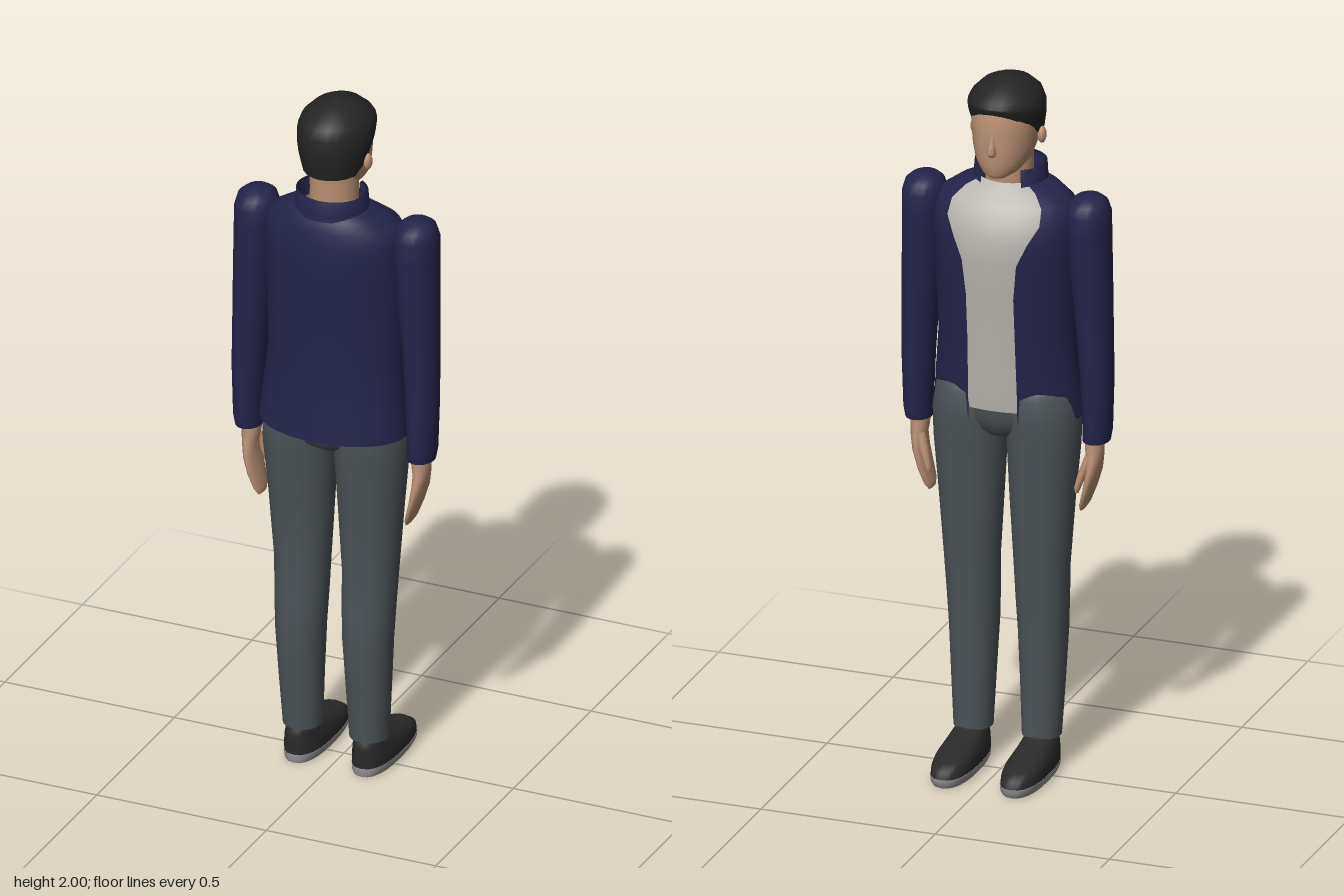
import * as THREE from 'three';

const mat = (name, color, side = THREE.FrontSide) => {
  const m = new THREE.MeshStandardMaterial({ color, side });
  m.name = name;
  return m;
};

// Skin a stack of elliptical rings, each [y, centreX, radiusX, zFront, zBack].
// open: half-angle range per ring [from, to] measured from the front (-z); lift(z) bends ring heights.
function loft(rings, { segs = 24, range = null, lift = null, power = 1 } = {}) {
  const pos = [], idx = [];
  const cols = range ? segs + 1 : segs;
  const bend = (v) => Math.sign(v) * Math.pow(Math.abs(v), power);
  const point = (r, a) => {
    const [y, cx, rx, zf, zb] = r;
    const z = (zf + zb) / 2 - bend(Math.cos(a)) * (zb - zf) / 2;
    return [cx + bend(Math.sin(a)) * rx, y + (lift ? lift(z, y) : 0), z];
  };
  rings.forEach((r, j) => {
    const [a0, a1] = range ? range(r, j) : [0, Math.PI * 2];
    for (let i = 0; i < cols; i++) pos.push(...point(r, a0 + (a1 - a0) * i / segs));
  });
  for (let j = 0; j < rings.length - 1; j++) {
    for (let i = 0; i < segs; i++) {
      const k = (i + 1) % cols;
      const a = j * cols + i, b = j * cols + k, c = a + cols, d = b + cols;
      idx.push(a, c, b, b, c, d);
    }
  }
  // flat end caps on closed lofts
  if (!range) {
    [[0, false], [rings.length - 1, true]].forEach(([j, top]) => {
      const r = rings[j], start = pos.length / 3;
      let sy = 0;
      for (let i = 0; i < segs; i++) {
        const p = point(r, Math.PI * 2 * i / segs);
        sy += p[1] / segs;
        pos.push(...p);
      }
      pos.push(r[1], sy, (r[3] + r[4]) / 2);
      for (let i = 0; i < segs; i++) {
        const a = start + i, b = start + (i + 1) % segs, c = start + segs;
        idx.push(...(top ? [a, c, b] : [a, b, c]));
      }
    });
  }
  const g = new THREE.BufferGeometry();
  g.setAttribute('position', new THREE.Float32BufferAttribute(pos, 3));
  g.setIndex(idx);
  g.computeVertexNormals();
  return g;
}

export function createModel() {
  const root = new THREE.Group();
  root.name = 'standingMan';
  const jacketMat = mat('navyJacket', 0x24244a, THREE.DoubleSide);
  const shirtMat = mat('paleShirt', 0xb8b4ae, THREE.DoubleSide);
  const trouserMat = mat('greyTrousers', 0x4c5357);
  const skinMat = mat('skin', 0xba9174);
  const hairMat = mat('blackHair', 0x242424);
  const shoeMat = mat('blackShoe', 0x2a2a2a);
  const soleMat = mat('greySole', 0x959595);
  const add = (name, geo, material, parent = root) => {
    const m = new THREE.Mesh(geo, material);
    m.name = name;
    parent.add(m);
    return m;
  };

  // Torso: jacket wraps round the back, shirt fills the front opening
  const torso = [
    [1.03, 0, 0.212, -0.07, 0.2], [1.12, 0, 0.204, -0.076, 0.192], [1.25, 0, 0.192, -0.084, 0.181],
    [1.4, 0, 0.196, -0.098, 0.183], [1.5, 0, 0.2, -0.106, 0.187], [1.56, 0, 0.202, -0.106, 0.187],
    [1.61, 0, 0.201, -0.094, 0.183], [1.65, 0, 0.186, -0.068, 0.175], [1.68, 0, 0.14, -0.035, 0.165],
    [1.7, 0, 0.09, -0.01, 0.15],
  ];
  const gap = [0.07, 0.07, 0.068, 0.068, 0.078, 0.105, 0.132, 0.128, 0.1, 0.065];
  const half = (j) => Math.asin(gap[j] / torso[j][2]);
  add('jacketBody', loft(torso, { segs: 36, range: (r, j) => [half(j), Math.PI * 2 - half(j)] }), jacketMat);
  const shirt = torso.map(([y, x, rx, f, b], j) => [j ? y : 1.06, x, rx - 0.003, f + 0.003, b]);
  add('shirtFront', loft(shirt, { segs: 14, range: (r, j) => [-half(j) - 0.03, half(j) + 0.03] }), shirtMat);

  // Stand-up collar, open at the front
  const collar = [[1.68, 0, 0.108, -0.03, 0.168], [1.695, 0, 0.102, -0.018, 0.165],
    [1.74, 0, 0.099, -0.012, 0.162], [1.735, 0, 0.09, -0.004, 0.153], [1.69, 0, 0.088, 0, 0.15]];
  add('collar', loft(collar, { segs: 28, range: () => [0.6, Math.PI * 2 - 0.6] }), jacketMat);

  // Hips
  add('hips', loft([[0.97, 0, 0.07, -0.02, 0.12], [0.99, 0, 0.11, -0.045, 0.15], [1.03, 0, 0.17, -0.06, 0.17],
    [1.07, 0, 0.185, -0.064, 0.175]]), trouserMat);

  // Neck and head
  add('neck', loft([[1.64, 0, 0.07, 0, 0.13], [1.74, 0, 0.066, -0.008, 0.128], [1.82, 0, 0.068, -0.01, 0.135]]), skinMat);
  add('face', loft([
    [1.73, 0, 0.028, -0.056, 0.01], [1.742, 0, 0.05, -0.066, 0.06], [1.77, 0, 0.073, -0.071, 0.115],
    [1.81, 0, 0.085, -0.074, 0.14], [1.86, 0, 0.091, -0.073, 0.15], [1.91, 0, 0.094, -0.072, 0.15],
    [1.95, 0, 0.08, -0.058, 0.14], [1.975, 0, 0.05, -0.02, 0.1],
  ]), skinMat);
  add('nose', loft([[1.8, 0, 0.01, -0.082, -0.06], [1.812, 0, 0.014, -0.092, -0.06], [1.83, 0, 0.009, -0.083, -0.06],
    [1.865, 0, 0.005, -0.074, -0.06]], { segs: 10 }), skinMat);

  // Hair cap, its lower edge rising from the nape to the forehead
  const hairLift = (z, y) => Math.max(0, 0.69 * (0.1 - z)) * Math.max(0, (1.94 - y) / 0.14);
  add('hair', loft([
    [1.8, 0, 0.09, -0.076, 0.156], [1.84, 0, 0.098, -0.079, 0.166], [1.88, 0, 0.103, -0.081, 0.171],
    [1.92, 0, 0.103, -0.082, 0.169], [1.95, 0, 0.093, -0.073, 0.157], [1.975, 0, 0.068, -0.042, 0.126],
    [1.99, 0, 0.035, -0.002, 0.086], [2.0, 0, 0.004, 0.04, 0.05],
  ], { lift: hairLift }), hairMat);

  for (const s of [1, -1]) {
    const side = s > 0 ? 'left' : 'right';
    const rings = (list) => list.map(([y, x, ...rest]) => [y, x * s, ...rest]);

    // Ear
    const ear = add(side + 'Ear', new THREE.SphereGeometry(1, 12, 8), skinMat);
    ear.scale.set(0.012, 0.024, 0.016);
    ear.position.set(0.096 * s, 1.83, 0.055);

    // Sleeve with rounded shoulder
    add(side + 'Sleeve', loft(rings([
      [0.97, 0.254, 0.037, 0.005, 0.1], [1.0, 0.257, 0.039, 0.0, 0.105], [1.15, 0.256, 0.045, -0.004, 0.107],
      [1.3, 0.25, 0.05, -0.012, 0.108], [1.45, 0.242, 0.056, -0.02, 0.113], [1.58, 0.236, 0.06, -0.03, 0.117],
      [1.63, 0.235, 0.061, -0.029, 0.115], [1.66, 0.235, 0.052, -0.018, 0.104], [1.675, 0.235, 0.035, 0.004, 0.084],
      [1.68, 0.235, 0.01, 0.033, 0.055],
    ]), { segs: 18 }), jacketMat);

    // Hand and thumb
    add(side + 'Hand', loft(rings([
      [0.768, 0.217, 0.005, 0.025, 0.075], [0.785, 0.222, 0.011, 0.012, 0.087], [0.83, 0.236, 0.014, 0.002, 0.096],
      [0.88, 0.248, 0.018, 0.0, 0.096], [0.92, 0.252, 0.021, 0.008, 0.086], [0.95, 0.25, 0.026, 0.014, 0.08],
      [0.985, 0.25, 0.027, 0.014, 0.082],
    ]), { segs: 14 }), skinMat);
    add(side + 'Thumb', loft(rings([
      [0.825, 0.212, 0.005, 0.006, 0.018], [0.84, 0.214, 0.009, 0.001, 0.024], [0.88, 0.226, 0.012, 0.002, 0.032],
      [0.93, 0.242, 0.012, 0.012, 0.045],
    ]), { segs: 10 }), skinMat);

    // Trouser leg
    add(side + 'TrouserLeg', loft(rings([
      [0.1, 0.098, 0.054, -0.008, 0.105], [0.25, 0.099, 0.061, -0.013, 0.122], [0.4, 0.099, 0.068, -0.02, 0.138],
      [0.5, 0.099, 0.073, -0.027, 0.133], [0.6, 0.1, 0.077, -0.035, 0.125], [0.8, 0.102, 0.09, -0.05, 0.14],
      [0.95, 0.105, 0.1, -0.063, 0.158], [1.03, 0.106, 0.1, -0.07, 0.165], [1.1, 0.105, 0.088, -0.071, 0.16],
      [1.12, 0.105, 0.06, -0.05, 0.13],
    ])), trouserMat);

    // Shoe upper and sole
    add(side + 'Shoe', loft(rings([
      [0.022, 0.1, 0.056, -0.197, 0.11], [0.045, 0.1, 0.056, -0.19, 0.11], [0.062, 0.1, 0.053, -0.165, 0.11],
      [0.08, 0.1, 0.046, -0.09, 0.11], [0.1, 0.099, 0.04, -0.015, 0.106], [0.11, 0.099, 0.03, 0.0, 0.095],
    ]), { power: 0.8 }), shoeMat);
    add(side + 'Sole', loft(rings([
      [0, 0.1, 0.05, -0.19, 0.108], [0.012, 0.1, 0.056, -0.198, 0.111], [0.025, 0.1, 0.057, -0.199, 0.111],
    ]), { power: 0.8 }), soleMat);
  }
  return root;
}
